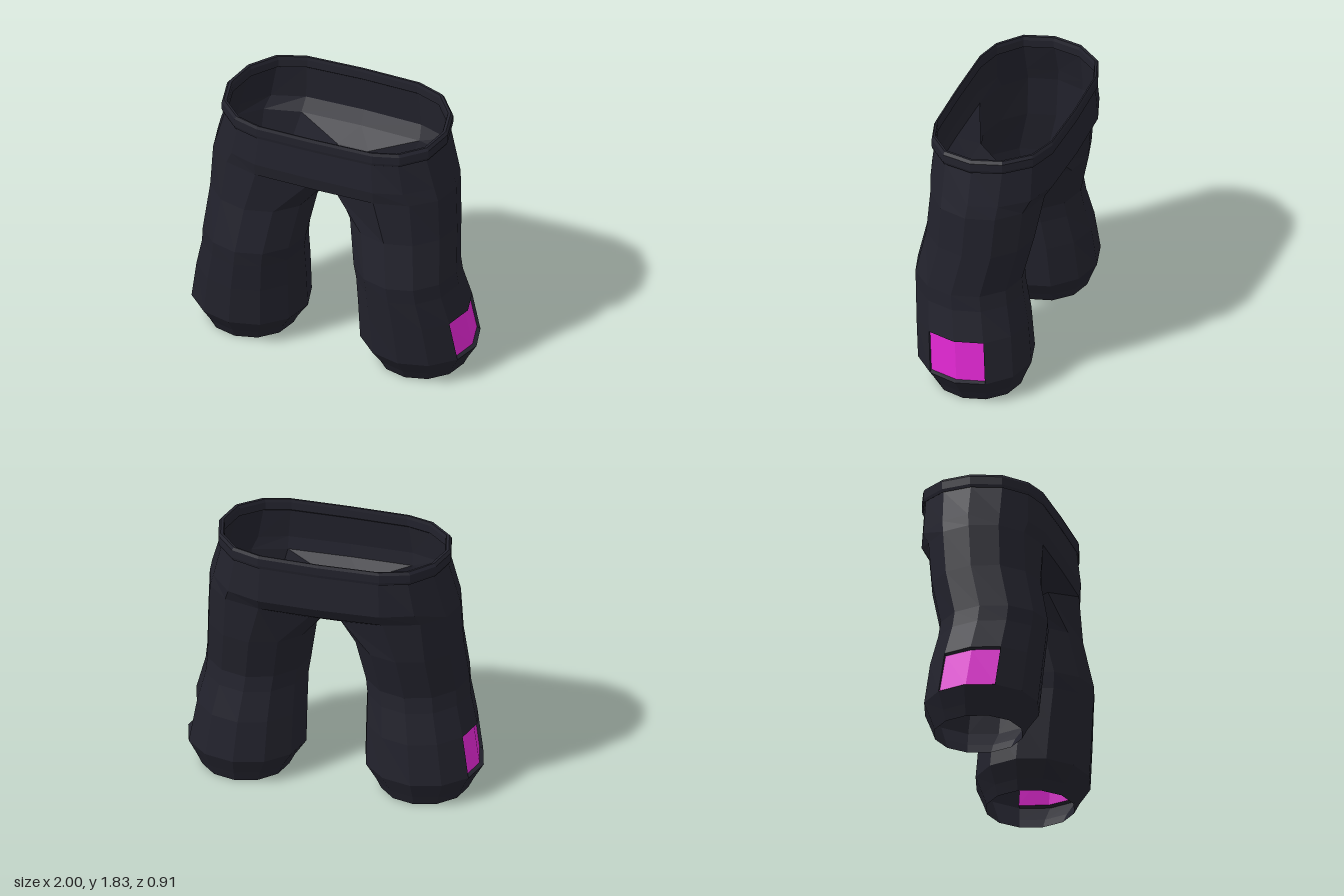
import * as THREE from 'three';

const V = (x, y, z) => new THREE.Vector3(x, y, z);

// Flat-faced geometry from a list of polygons (each split as a fan)
function facets(polygons) {
  const pos = [];
  for (const p of polygons)
    for (let i = 1; i < p.length - 1; i++)
      for (const v of [p[0], p[i], p[i + 1]]) pos.push(v.x, v.y, v.z);
  const g = new THREE.BufferGeometry();
  g.setAttribute('position', new THREE.Float32BufferAttribute(pos, 3));
  g.computeVertexNormals();
  return g;
}

// Quads between consecutive closed rings; skip(row, side) leaves a gap
function loft(rings, skip = () => false) {
  const out = [];
  for (let r = 0; r < rings.length - 1; r++) {
    const a = rings[r], b = rings[r + 1], n = a.length;
    for (let k = 0; k < n; k++) {
      const j = (k + 1) % n;
      if (!skip(r, k)) out.push([a[k], b[k], b[j], a[j]]);
    }
  }
  return out;
}

const flipX = v => V(-v.x, v.y, v.z);
const mirror = polys => polys.map(p => p.map(flipX).reverse());

export function createModel() {
  const cloth = new THREE.MeshStandardMaterial({ color: 0x22222c, flatShading: true, side: THREE.DoubleSide });
  cloth.name = 'darkCloth';
  const magenta = new THREE.MeshStandardMaterial({ color: 0xde26cf, flatShading: true, side: THREE.DoubleSide });
  magenta.name = 'magentaPatch';

  const model = new THREE.Group();
  model.name = 'trousers';
  const add = (name, polys, mat, parent = model) => {
    const m = new THREE.Mesh(facets(polys), mat);
    m.name = name;
    parent.add(m);
  };

  // Leg sections: y, inner x, outer x, back z, front z
  const SIDES = 12;
  const legRings = [
    [0, 0.31, 0.90, -0.29, 0.30],
    [0.07, 0.275, 0.935, -0.315, 0.335],
    [0.18, 0.20, 1.0, -0.36, 0.41],
    [0.47, 0.20, 0.95, -0.33, 0.435],
    [0.68, 0.20, 0.897, -0.285, 0.452],
    [0.79, 0.185, 0.888, -0.27, 0.46],
    [1.1, 0.13, 0.865, -0.34, 0.397],
  ].map(([y, xi, xo, zb, zf]) => Array.from({ length: SIDES }, (_, k) => {
    const a = k / SIDES * Math.PI * 2;
    return V((xi + xo) / 2 + Math.cos(a) * (xo - xi) / 2, y, (zb + zf) / 2 + Math.sin(a) * (zf - zb) / 2);
  }));

  // Half outlines of the hips, from back round the side to the front
  const hip = (pts, y) => pts.map(([x, z]) => V(x, y, z));
  const hipLow = hip([[0.42, -0.385], [0.66, -0.32], [0.80, -0.18], [0.85, 0.01], [0.80, 0.2], [0.65, 0.33], [0.42, 0.392]], 1.4);
  const hipMid = hip([[0.41, -0.44], [0.63, -0.365], [0.775, -0.19], [0.83, 0.0], [0.775, 0.2], [0.61, 0.345], [0.42, 0.405]], 1.49);
  const waist = [[0.4, -0.425], [0.585, -0.36], [0.715, -0.2], [0.762, 0.0], [0.715, 0.2], [0.57, 0.335], [0.4, 0.383]];

  // Top of the leg: outer half meets the hips, inner half dips to the crotch
  const legTop = [
    ...hipLow.slice(3),
    V(0.11, 1.31, 0.27), V(0.06, 1.23, 0.13), V(0.06, 1.23, 0.01),
    V(0.06, 1.23, -0.11), V(0.11, 1.31, -0.26),
    ...hipLow.slice(0, 3),
  ];
  legRings.push(legTop);

  // The outer two sides above the cuff hold a sunken patch
  const isPatch = (r, k) => r === 2 && (k === 0 || k === SIDES - 1);
  const legPolys = loft(legRings, isPatch);
  const edge = [SIDES - 1, 0, 1];
  const sink = (v, y) => V(0.59 + (v.x - 0.59) * 0.93, y, v.z);
  const low = edge.map(k => legRings[2][k]), high = edge.map(k => legRings[3][k]);
  const pLow = low.map(v => sink(v, 0.19)), pHigh = high.map(v => sink(v, 0.46));
  const patchPolys = [0, 1].map(i => [pLow[i], pHigh[i], pHigh[i + 1], pLow[i + 1]]);
  for (const i of [0, 1]) {
    legPolys.push([low[i], pLow[i], pLow[i + 1], low[i + 1]]);
    legPolys.push([pHigh[i], high[i], high[i + 1], pHigh[i + 1]]);
  }
  legPolys.push([low[0], high[0], pHigh[0], pLow[0]], [pLow[2], pHigh[2], high[2], low[2]]);

  for (const [side, fn] of [['left', p => p], ['right', mirror]]) {
    const leg = new THREE.Group();
    leg.name = side + 'Leg';
    add(side + 'TrouserLeg', fn(legPolys), cloth, leg);
    add(side + 'AnklePatch', fn(patchPolys), magenta, leg);
    model.add(leg);
  }

  // Full hip ring: half outline, front centre, mirrored half, back centre
  const fullRing = half => {
    const f = half[6], b = half[0];
    return [...half, V(0, f.y, f.z + 0.006), ...half.map(flipX).reverse(), V(0, b.y, b.z - 0.012)];
  };
  // Waist ring, scaled outward by s and tilted up towards the back
  const waistRing = (s, y) => fullRing(hip(waist, y).map(v => v.multiply(V(s, 1, s))))
    .map(v => V(v.x, v.y - 0.048 * v.z + 0.008 * v.x, v.z));

  const lowRing = fullRing(hipLow);
  add('hips', loft([lowRing, fullRing(hipMid), waistRing(1, 1.725)]), cloth);

  // Waistband with rounded rim and inner lip
  add('waistband', loft([
    waistRing(1, 1.725), waistRing(1.02, 1.715), waistRing(1.03, 1.735),
    waistRing(1.03, 1.79), waistRing(1.01, 1.81), waistRing(0.985, 1.808),
    waistRing(0.975, 1.785), waistRing(0.975, 1.73), waistRing(1, 1.72),
  ]), cloth);

  // Crotch: strip between the legs and a gusset at front and back
  const crotch = [];
  for (let k = 4; k < 8; k++) {
    const a = legTop[k], b = legTop[k + 1];
    crotch.push([a, flipX(a), flipX(b), b]);
  }
  const gusset = (top, mid, bottom) => [
    [top, mid, bottom], [mid, flipX(bottom), bottom], [mid, flipX(top), flipX(bottom)],
  ];
  crotch.push(...gusset(legTop[3], lowRing[7], legTop[4]));
  crotch.push(...gusset(legTop[9], lowRing[15], legTop[8]).map(p => p.reverse()));
  add('crotch', crotch, cloth);

  return model;
}
